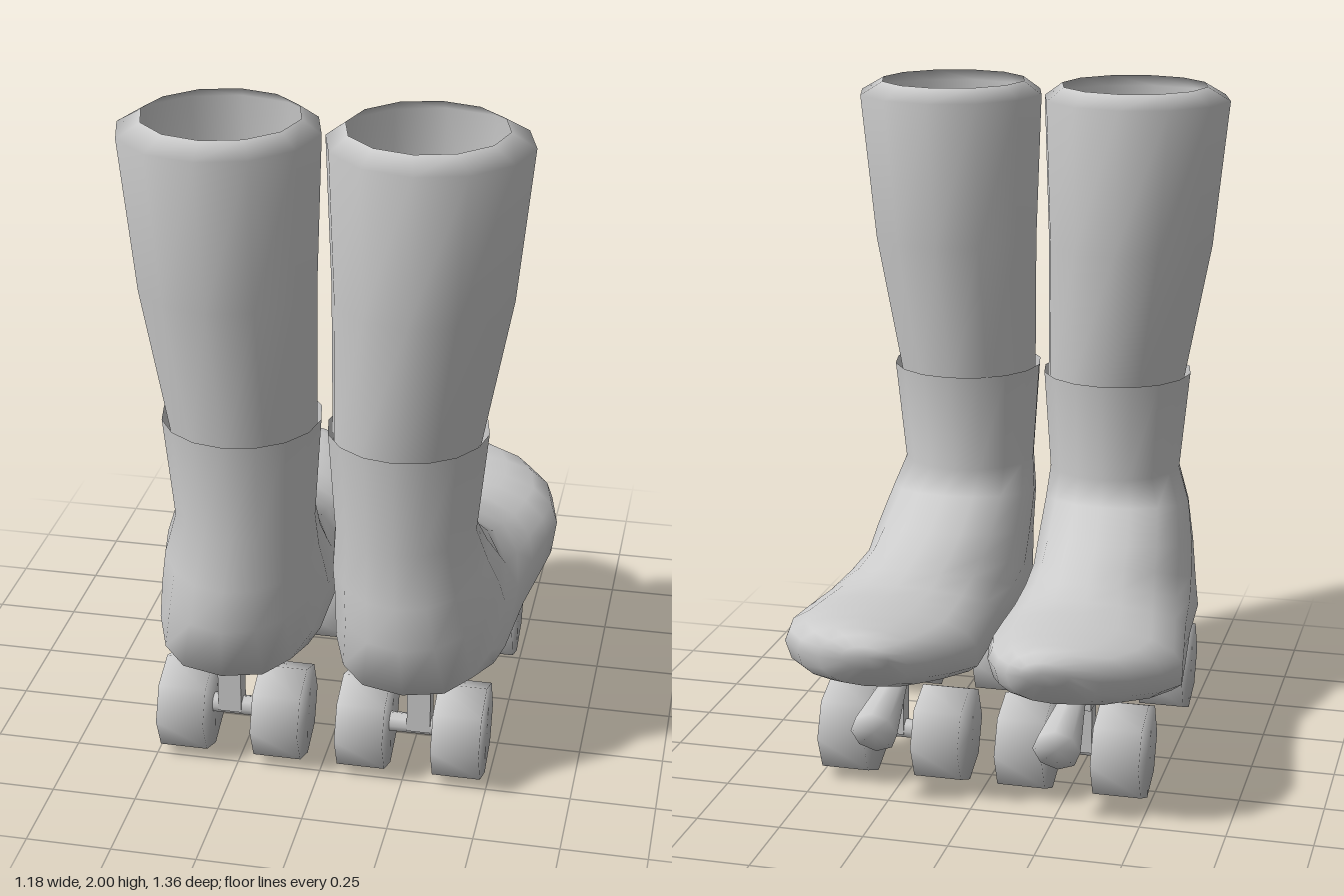
import * as THREE from 'three';
import { mergeVertices } from 'three/addons/utils/BufferGeometryUtils.js';

const solid = new THREE.MeshStandardMaterial({ color: 0xcccccc });
const open = new THREE.MeshStandardMaterial({ color: 0xcccccc, side: THREE.DoubleSide });

// Each ring: back z, back y, front z, front y, inner x, outer x, boxiness of the back/sole half
const BOOT = [
  [0.63, 1.115, 0.165, 1.115, 0.01, 0.47, 1],
  [0.60, 0.81, 0.20, 0.81, 0.03, 0.44, 1],
  [0.64, 0.66, 0.13, 0.745, 0.022, 0.475, 1],
  [0.63, 0.52, 0.0, 0.665, 0.02, 0.50, 0.95],
  [0.61, 0.365, -0.10, 0.635, 0.022, 0.51, 0.75],
  [0.42, 0.345, -0.19, 0.605, 0.025, 0.53, 0.4],
  [0.12, 0.352, -0.26, 0.58, 0.025, 0.55, 0.4],
  [-0.12, 0.34, -0.35, 0.577, 0.02, 0.575, 0.4],
  [-0.28, 0.325, -0.43, 0.577, 0.018, 0.592, 0.45],
  [-0.45, 0.362, -0.53, 0.577, 0.05, 0.56, 0.55],
  [-0.56, 0.385, -0.61, 0.577, 0.095, 0.49, 0.65],
  [-0.62, 0.405, -0.65, 0.57, 0.14, 0.41, 0.8],
  [-0.66, 0.47, -0.675, 0.545, 0.19, 0.33, 1],
];
const LEG = [
  [0.62, 2.0, 0.17, 2.0, 0.06, 0.505, 1],
  [0.68, 1.96, 0.11, 1.96, 0.005, 0.575, 1],
  [0.65, 1.52, 0.14, 1.52, 0.02, 0.53, 1],
  [0.62, 1.08, 0.175, 1.08, 0.022, 0.447, 1],
];

// Skin a list of rings; tip, if given, closes the last ring
function loft(rings, sides, s, tip) {
  const pos = [], idx = [];
  const soften = (v, e) => Math.sign(v) * Math.abs(v) ** e;
  for (const [zb, yb, zf, yf, x0, x1, box] of rings) {
    for (let j = 0; j < sides; j++) {
      const t = (j / sides) * Math.PI * 2;
      const e = Math.cos(t) > 1e-6 ? box : 1;
      const c = soften(Math.cos(t), e), n = soften(Math.sin(t), e);
      pos.push(
        s * (x0 + x1) / 2 + n * (x1 - x0) / 2,
        (yb + yf) / 2 + c * (yb - yf) / 2,
        (zb + zf) / 2 + c * (zb - zf) / 2);
    }
  }
  for (let i = 0; i < rings.length - 1; i++) {
    for (let j = 0; j < sides; j++) {
      const k = (j + 1) % sides;
      const a = i * sides + j, b = i * sides + k;
      idx.push(a, a + sides, b, b, a + sides, b + sides);
    }
  }
  if (tip) {
    const base = (rings.length - 1) * sides, end = rings.length * sides;
    pos.push(s * tip[0], tip[1], tip[2]);
    for (let j = 0; j < sides; j++) idx.push(base + j, end, base + (j + 1) % sides);
  }
  const g = new THREE.BufferGeometry();
  g.setAttribute('position', new THREE.Float32BufferAttribute(pos, 3));
  g.setIndex(idx);
  g.computeVertexNormals();
  return g;
}

// Weld a built-in geometry so its shading rolls over the edges
function weld(g) {
  g.deleteAttribute('normal');
  g.deleteAttribute('uv');
  const w = mergeVertices(g, 1e-4);
  w.computeVertexNormals();
  return w;
}

function part(group, name, geometry, material, x = 0, y = 0, z = 0) {
  const mesh = new THREE.Mesh(geometry, material);
  mesh.name = name;
  mesh.position.set(x, y, z);
  group.add(mesh);
  return mesh;
}

function createSkate(s) {
  const skate = new THREE.Group();
  skate.name = s > 0 ? 'leftSkate' : 'rightSkate';
  const mid = s * 0.27, plateX = s * 0.287;

  part(skate, 'boot', loft(BOOT, 16, s, [0.25, 0.515, -0.68]), open);
  part(skate, 'legShaft', loft(LEG, 12, s), open);

  // Chassis bar under the sole
  part(skate, 'chassis', new THREE.BoxGeometry(0.075, 0.085, 0.8), solid, plateX, 0.3225, 0.045);

  // Two trucks, each with a post, an axle and a pair of wheels
  for (const z of [0.413, -0.297]) {
    const truck = new THREE.Group();
    truck.name = z > 0 ? 'rearTruck' : 'frontTruck';
    truck.position.set(mid, 0.146, z);
    skate.add(truck);
    part(truck, 'post', new THREE.BoxGeometry(0.07, 0.16, 0.06), solid, plateX - mid, 0.07, 0);
    const axle = new THREE.CylinderGeometry(0.03, 0.03, 0.2, 8).rotateZ(Math.PI / 2);
    part(truck, 'axle', axle, solid);
    for (const side of [-1, 1]) {
      const wheel = weld(new THREE.CylinderGeometry(0.146, 0.146, 0.143, 8).rotateZ(Math.PI / 2));
      part(truck, 'wheel', wheel, solid, side * 0.143, 0, 0);
    }
  }

  // Flared toe stopper, slanting forward and down
  const from = new THREE.Vector3(mid, 0.315, -0.33), to = new THREE.Vector3(mid, 0.24, -0.565);
  const dir = to.clone().sub(from);
  const stopper = part(skate, 'toeStopper',
    weld(new THREE.CylinderGeometry(0.07, 0.035, dir.length(), 8)), solid);
  stopper.position.copy(from).add(to).multiplyScalar(0.5);
  stopper.quaternion.setFromUnitVectors(new THREE.Vector3(0, 1, 0), dir.normalize());
  return skate;
}

export function createModel() {
  const model = new THREE.Group();
  model.name = 'rollerSkates';
  for (const s of [1, -1]) model.add(createSkate(s));
  return model;
}
